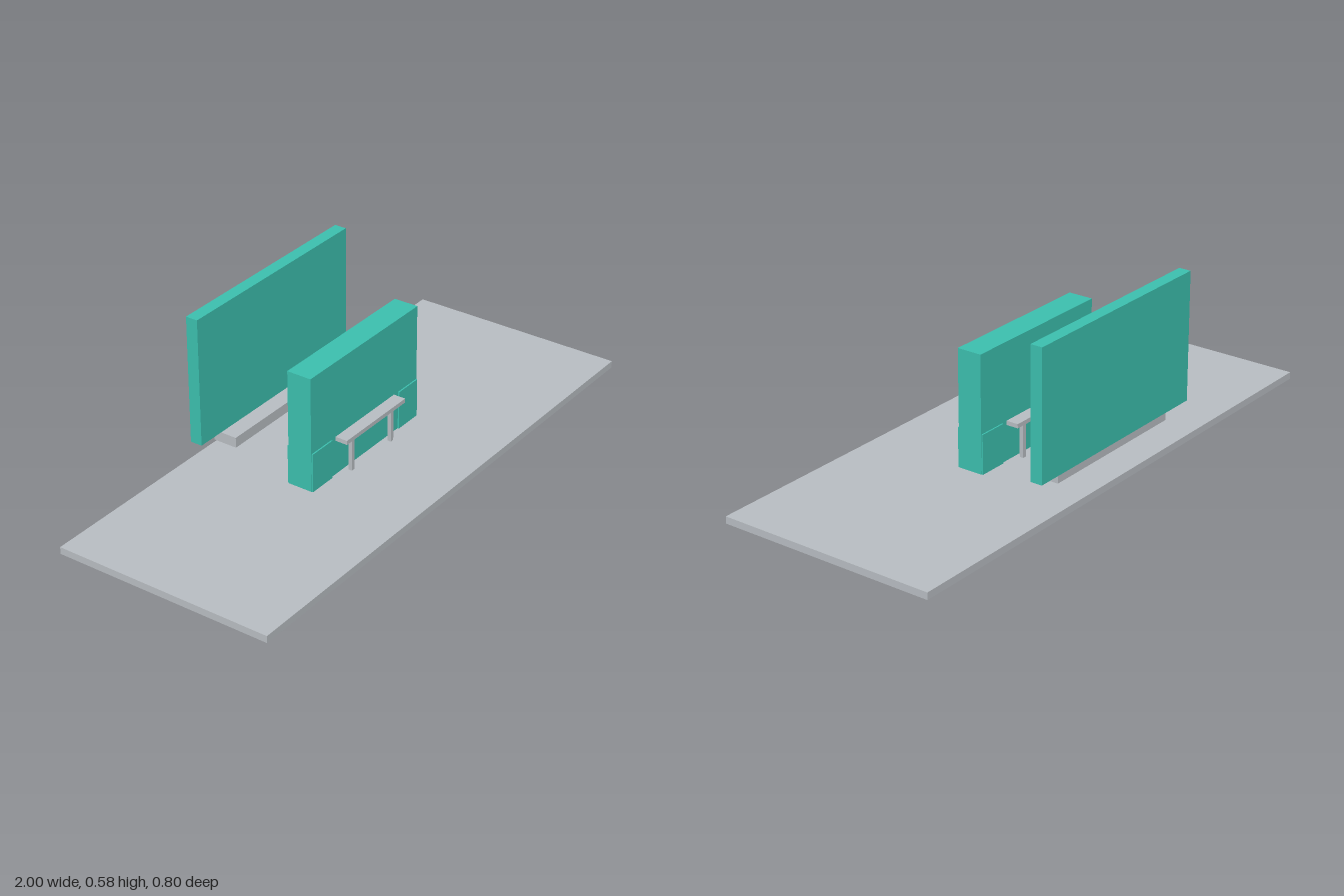
import * as THREE from 'three';

export function createModel() {
  const group = new THREE.Group();
  const teal = new THREE.MeshStandardMaterial({ name: 'teal', color: 0x3cbfae });
  const grey = new THREE.MeshStandardMaterial({ name: 'grey', color: 0xb8bdc2 });

  // Box given by its minimum and maximum corners
  const box = (name, material, [x0, y0, z0], [x1, y1, z1]) => {
    const mesh = new THREE.Mesh(new THREE.BoxGeometry(x1 - x0, y1 - y0, z1 - z0), material);
    mesh.position.set((x0 + x1) / 2, (y0 + y1) / 2, (z0 + z1) / 2);
    mesh.name = name;
    group.add(mesh);
  };

  // Floor slab
  box('floor', grey, [-1, 0, -0.4], [1, 0.025, 0.4]);

  // Central partition wall
  box('partition', teal, [-0.297, 0.003, -0.045], [0.297, 0.44, 0.045]);

  // Raised back panel and the ledge under it
  box('backPanel', teal, [-0.4, 0.121, -0.362], [0.4, 0.58, -0.318]);
  box('ledge', grey, [-0.297, 0.083, -0.347], [0.297, 0.12, -0.259]);

  // Low cladding at both ends of the partition
  for (const side of [-1, 1]) {
    const x = side * 0.242;
    box('endCladding', teal, [x - 0.053, 0.02, -0.05], [x + 0.053, 0.165, 0.05]);
  }

  // Table top running through the partition, with four legs
  box('tableTop', grey, [-0.165, 0.151, -0.09], [0.165, 0.166, 0.09]);
  for (const x of [-0.111, 0.111]) {
    for (const z of [-0.069, 0.069]) {
      box('tableLeg', grey, [x - 0.007, 0.02, z - 0.007], [x + 0.007, 0.152, z + 0.007]);
    }
  }

  return group;
}
